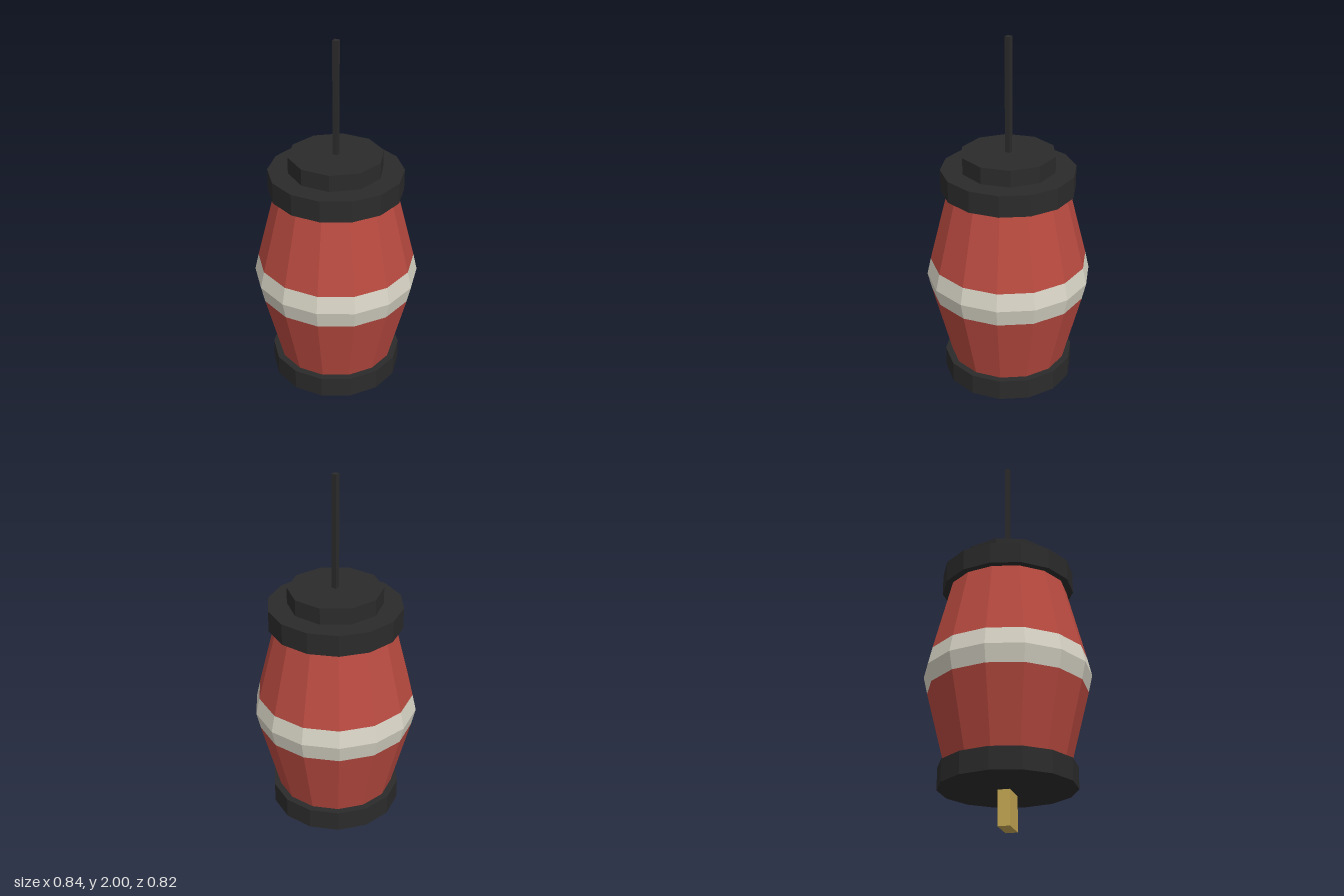
import * as THREE from 'three';

function material(name, color) {
  const m = new THREE.MeshStandardMaterial({ color, flatShading: true });
  m.name = name;
  return m;
}

export function createModel() {
  const model = new THREE.Group();
  model.name = 'hangingFloat';
  const red = material('red', 0xb84a40);
  const cream = material('cream', 0xd6d2c4);
  const black = material('black', 0x2b2b2b);
  const brass = material('brass', 0xc4a653);

  function add(name, geometry, mat, y = 0) {
    const mesh = new THREE.Mesh(geometry, mat);
    mesh.name = name;
    mesh.position.y = y;
    model.add(mesh);
    return mesh;
  }

  // Faceted ring or drum between two heights, with a corner on the x axis
  function drum(name, y0, y1, r0, r1, sides, mat, open = false) {
    const geometry = new THREE.CylinderGeometry(r1, r0, y1 - y0, sides, 1, open, Math.PI / 2);
    return add(name, geometry, mat, (y0 + y1) / 2);
  }

  // Barrel body: two mirrored cones, widest at the middle, with a pale band
  const mid = 0.765;
  const bandRadius = 0.4, waist = 0.42, endRadius = 0.291;
  drum('lowerBody', 0.25, 0.677, endRadius, bandRadius, 14, red, true);
  drum('lowerBand', 0.677, mid, bandRadius, waist, 14, cream, true);
  drum('upperBand', mid, 0.853, waist, bandRadius, 14, cream, true);
  drum('upperBody', 0.853, 1.28, bandRadius, endRadius, 14, red, true);

  // End caps and top collar
  drum('bottomCap', 0.188, 0.298, 0.338, 0.338, 14, black);
  drum('topCap', 1.232, 1.342, 0.338, 0.338, 14, black);
  drum('topCollar', 1.342, 1.427, 0.238, 0.238, 10, black);

  // Suspension rod
  add('rod', new THREE.BoxGeometry(0.026, 0.58, 0.026), black, 1.71);

  // Tab hanging just below the bottom cap
  add('tab', new THREE.BoxGeometry(0.144, 0.172, 0.06), brass, 0.086);

  return model;
}
